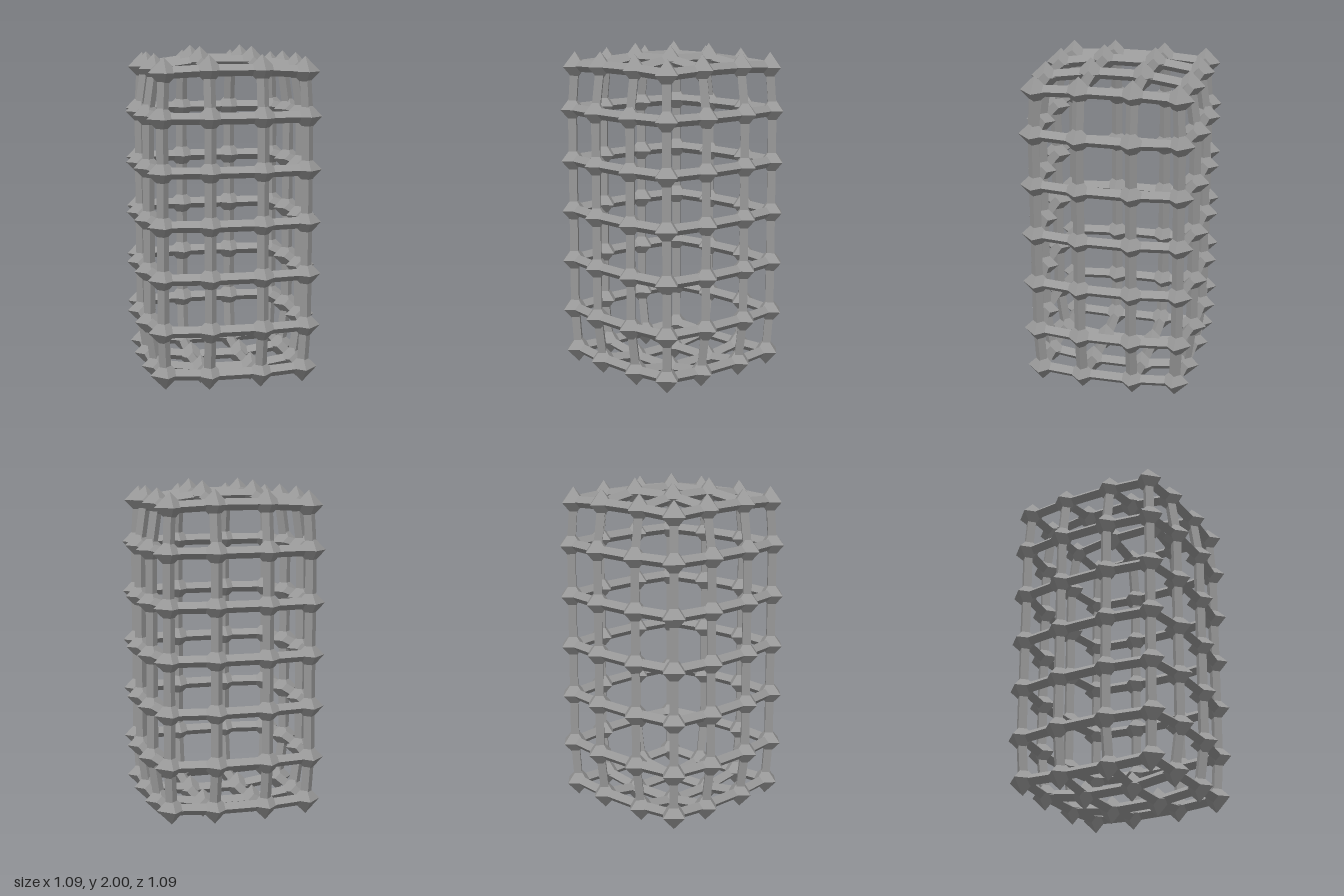
import * as THREE from 'three';

export function createModel() {
  const model = new THREE.Group();
  model.name = 'latticeCage';
  const material = new THREE.MeshStandardMaterial({ color: 0x999999, flatShading: true });

  const step = 0.304, nodeRadius = 0.088, strutRadius = 0.034;
  const cells = [3, 6, 3];
  const up = new THREE.Vector3(0, 1, 0);

  const nodeGeometry = new THREE.OctahedronGeometry(nodeRadius);
  const strutGeometry = new THREE.CylinderGeometry(strutRadius, strutRadius, 1, 4, 1, true);

  const onEnd = (i, axis) => i === 0 || i === cells[axis];
  const endCount = (index) => index.filter(onEnd).length;
  const onSurface = (index) =>
    endCount(index) > 0 && index.every((i, axis) => i <= cells[axis]);

  // Grid point, drawn inward where it lies on an edge or corner of the box
  function position(index) {
    const pull = [0, 0, step / 8, step / 6][endCount(index)];
    const p = index.map((i, axis) => {
      const c = (i - cells[axis] / 2) * step;
      return onEnd(i, axis) ? c - Math.sign(c) * pull : c;
    });
    return new THREE.Vector3(p[0], p[1] + 1, p[2]);
  }

  // Two neighbours share a face of the box when both lie on the same end plane
  const shareFace = (a, b) => a.some((i, axis) => i === b[axis] && onEnd(i, axis));

  const nodes = new THREE.Group();
  nodes.name = 'nodes';
  const struts = new THREE.Group();
  struts.name = 'struts';
  model.add(nodes, struts);

  // Turn the bar onto its grid axis first, then tilt it, so its section does not roll
  function addStrut(a, b, axis) {
    const dir = b.clone().sub(a);
    const along = new THREE.Vector3().setComponent(axis, 1);
    const strut = new THREE.Mesh(strutGeometry, material);
    strut.name = 'strut';
    strut.position.copy(a).add(b).multiplyScalar(0.5);
    strut.scale.y = dir.length() - 0.08; // ends are buried in the nodes
    strut.quaternion
      .setFromUnitVectors(along, dir.normalize())
      .multiply(new THREE.Quaternion().setFromUnitVectors(up, along));
    struts.add(strut);
  }

  for (let x = 0; x <= cells[0]; x++)
    for (let y = 0; y <= cells[1]; y++)
      for (let z = 0; z <= cells[2]; z++) {
        const index = [x, y, z];
        if (!onSurface(index)) continue;
        // Octahedral joint
        const node = new THREE.Mesh(nodeGeometry, material);
        node.name = 'node';
        node.position.copy(position(index));
        nodes.add(node);
        // Diamond-section bars to the next joint along each axis
        for (let axis = 0; axis < 3; axis++) {
          const next = index.slice();
          next[axis]++;
          if (onSurface(next) && shareFace(index, next))
            addStrut(position(index), position(next), axis);
        }
      }

  return model;
}
